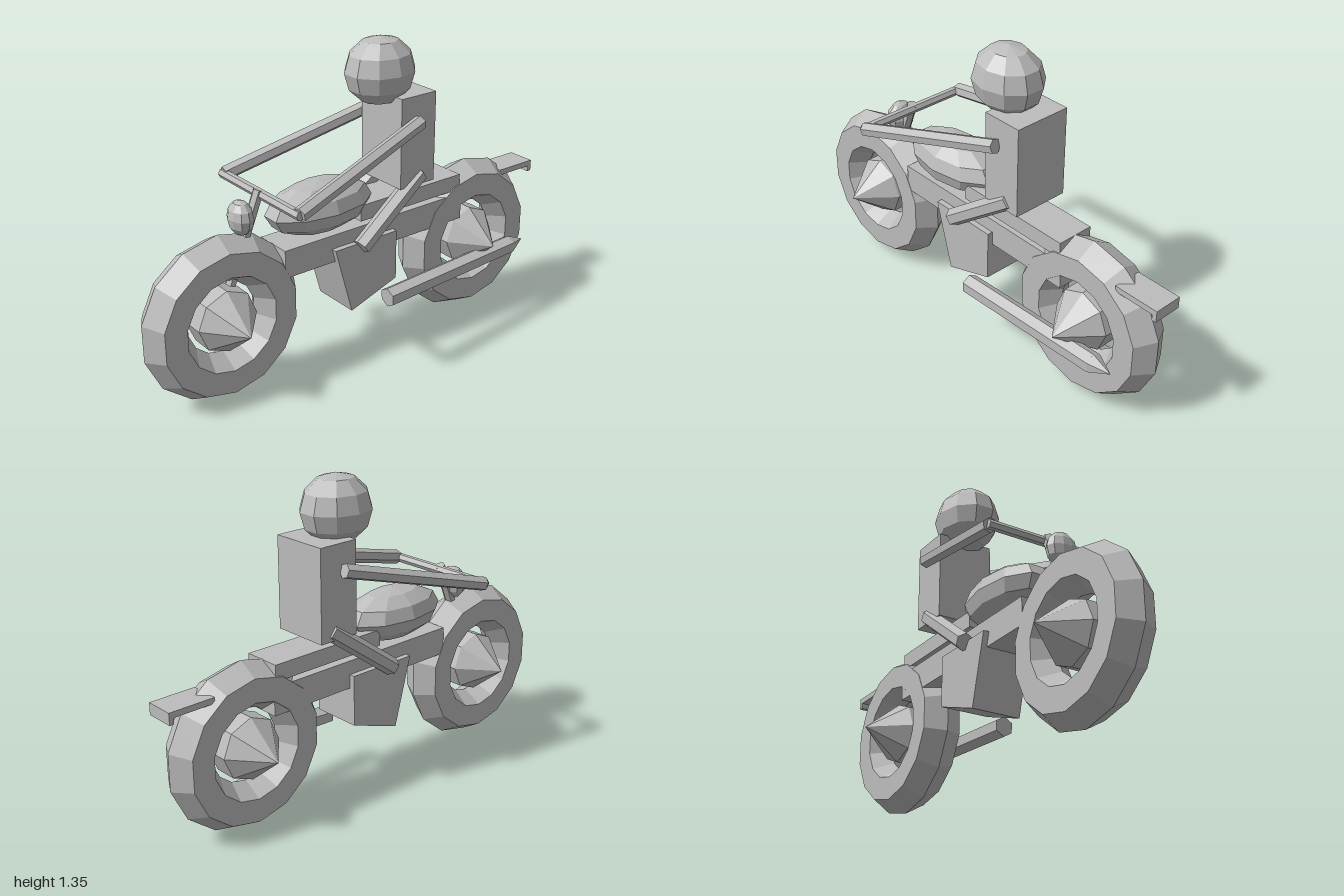
import * as THREE from 'three';

export function createModel() {
  const model = new THREE.Group();
  const grey = new THREE.MeshStandardMaterial({ color: 0xbcbcbc, flatShading: true });
  grey.name = 'plain grey';

  const add = (name, geometry, x = 0, y = 0, z = 0) => {
    const mesh = new THREE.Mesh(geometry, grey);
    mesh.name = name;
    mesh.position.set(x, y, z);
    model.add(mesh);
    return mesh;
  };

  // Box given by its half width and its y and z ranges
  const box = (name, halfX, y0, y1, z0, z1) =>
    add(name, new THREE.BoxGeometry(halfX * 2, y1 - y0, z1 - z0), 0, (y0 + y1) / 2, (z0 + z1) / 2);

  // Faceted ellipsoid
  const ball = (name, rx, ry, rz, y, z) =>
    add(name, new THREE.SphereGeometry(1, 10, 6).scale(rx, ry, rz), 0, y, z);

  // Straight rod between two points
  const rod = (name, from, to, r, endR = r, sides = 6) => {
    const a = new THREE.Vector3(...from), b = new THREE.Vector3(...to);
    const dir = b.clone().sub(a);
    const mid = a.clone().add(b).multiplyScalar(0.5);
    const mesh = add(name, new THREE.CylinderGeometry(endR, r, dir.length(), sides), mid.x, mid.y, mid.z);
    mesh.quaternion.setFromUnitVectors(new THREE.Vector3(0, 1, 0), dir.normalize());
    return mesh;
  };

  // Wheels with pointed hubs
  const hubProfile = [[0, -0.212], [0.133, -0.05], [0.133, 0.05], [0, 0.212]]
    .map(([r, h]) => new THREE.Vector2(r, h));
  for (const [name, z] of [['front', 0.652], ['rear', -0.63]]) {
    const tyre = new THREE.TorusGeometry(0.255, 0.1, 6, 14).rotateZ(Math.PI / 2).rotateY(Math.PI / 2);
    add(name + 'Tyre', tyre, 0, 0.36, z);
    add(name + 'Hub', new THREE.LatheGeometry(hubProfile, 8).rotateZ(Math.PI / 2), 0, 0.36, z);
  }

  // Frame, seat and tail
  box('frame', 0.085, 0.48, 0.6, -0.54, 0.4);
  box('seat', 0.083, 0.62, 0.69, -0.53, 0.02);
  box('tailPlate', 0.063, 0.61, 0.635, -0.99, -0.8);
  box('tailLight', 0.063, 0.585, 0.635, -1, -0.98);

  // Tank and headlight
  ball('tank', 0.134, 0.11, 0.252, 0.71, 0.17);
  ball('headlight', 0.066, 0.072, 0.049, 0.757, 0.545);

  // Engine block: side outline drawn in z and y, extruded across x
  const outline = new THREE.Shape(
    [[-0.17, 0.54], [-0.088, 0.24], [0.15, 0.32], [0.15, 0.54]].map(([u, y]) => new THREE.Vector2(u, y)));
  const engine = new THREE.ExtrudeGeometry(outline, { depth: 0.22, bevelEnabled: false });
  add('engine', engine.translate(0, 0, -0.11).rotateY(Math.PI / 2));

  // Fork and handlebar
  rod('fork', [0, 0.85, 0.458], [0, 0.485, 0.605], 0.023);
  rod('handlebar', [-0.27, 0.832, 0.453], [0.27, 0.832, 0.453], 0.02);

  // Exhaust pipe with pointed end
  rod('exhaustPipe', [0.145, 0.262, -0.075], [0.145, 0.297, -0.79], 0.043);
  rod('exhaustTip', [0.145, 0.297, -0.79], [0.145, 0.301, -0.88], 0.043, 0);

  // Rider
  box('torso', 0.127, 0.73, 1.12, -0.335, -0.153);
  ball('head', 0.135, 0.143, 0.158, 1.216, -0.142);
  for (const side of [-1, 1]) {
    const label = side > 0 ? 'left' : 'right';
    rod(label + 'Arm', [side * 0.15, 1.015, -0.235], [side * 0.258, 0.832, 0.45], 0.031);
    rod(label + 'Leg', [side * 0.105, 0.77, -0.275], [side * 0.124, 0.53, 0.05], 0.038);
  }
  return model;
}
